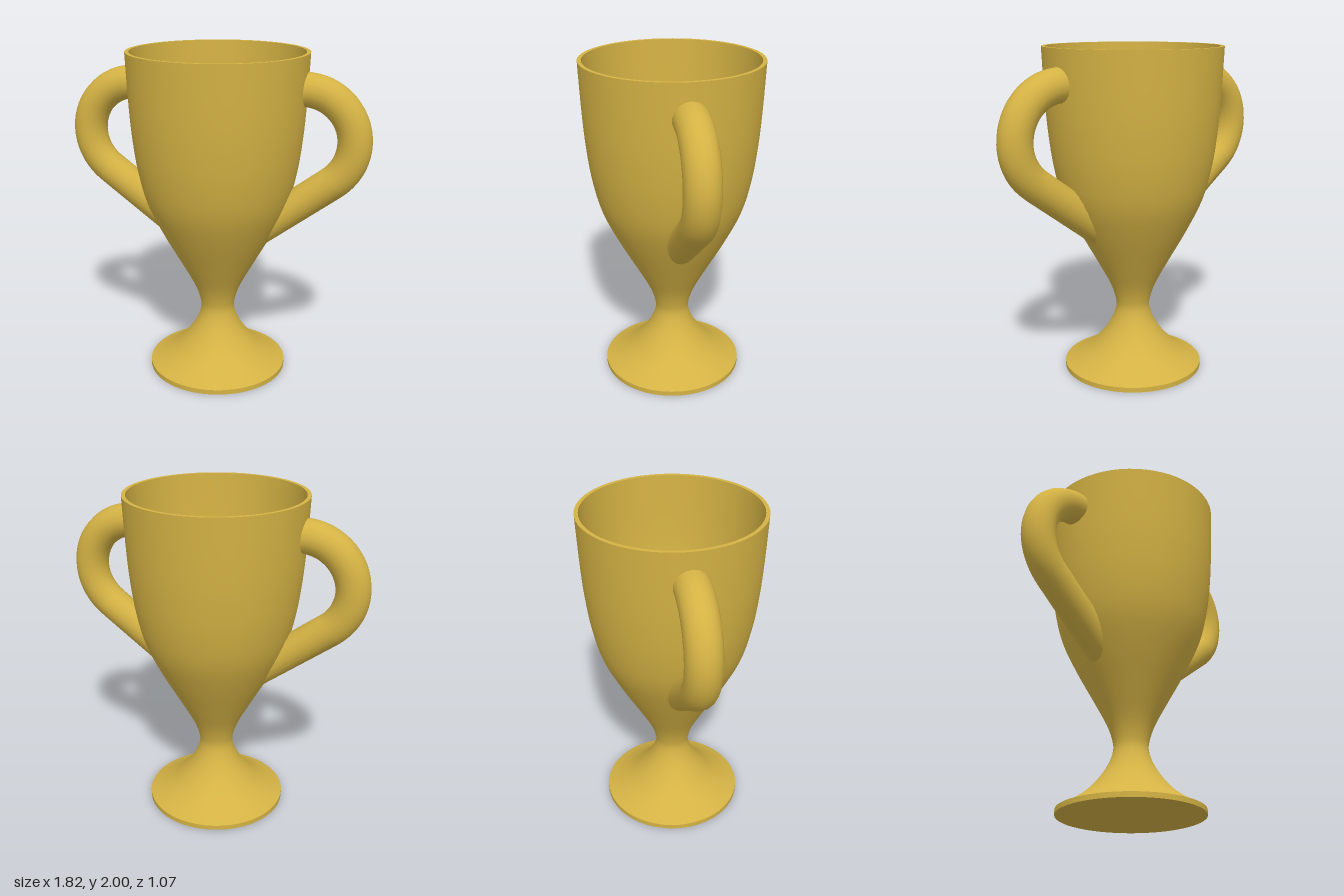
import * as THREE from 'three';

const gold = new THREE.MeshStandardMaterial({ color: 0xd4b244 });
gold.name = 'gold';

// Outer silhouette of stem and bowl as [radius, height]
const outline = [
  [0.43, 0.03], [0.36, 0.063], [0.27, 0.125], [0.19, 0.21], [0.135, 0.295], [0.105, 0.38],
  [0.11, 0.45], [0.145, 0.55], [0.225, 0.7], [0.335, 0.9], [0.428, 1.1], [0.478, 1.3],
  [0.505, 1.5], [0.52, 1.7], [0.533, 2],
];
const smooth = (pts, n) =>
  new THREE.SplineCurve(pts.map(([r, y]) => new THREE.Vector2(r, y))).getPoints(n);
const outer = smooth(outline, 56);
const inner = smooth([
  [0.51, 2], [0.497, 1.7], [0.482, 1.5], [0.454, 1.3], [0.403, 1.1], [0.31, 0.9],
  [0.198, 0.7], [0.115, 0.56], [0.072, 0.48],
], 36);

// Cup radius at a given height
function radiusAt(y) {
  const i = Math.max(1, outer.findIndex((p) => p.y >= y));
  const a = outer[i - 1], b = outer[i];
  return a.x + (b.x - a.x) * (y - a.y) / (b.y - a.y);
}

function lathe(name, points) {
  const pts = points.map((p) => (p.isVector2 ? p : new THREE.Vector2(...p)));
  const mesh = new THREE.Mesh(new THREE.LatheGeometry(pts, 64), gold);
  mesh.name = name;
  return mesh;
}

// Handle tube: an arc followed by a straight run, both ends trimmed to the cup wall
function handleGeometry() {
  const sides = 18, steps = 24, tube = 0.1, bend = 0.3;
  const sweep = Math.PI / 2 + Math.atan2(0.8, 0.6);
  const pos = [], index = [];
  const ring = (a, trimDir) => {
    for (let j = 0; j < sides; j++) {
      const t = (j / sides) * Math.PI * 2;
      const r = bend + tube * Math.cos(t);
      const p = new THREE.Vector3(0.508 + r * Math.cos(a), 1.5 + r * Math.sin(a), tube * Math.sin(t));
      if (trimDir) {
        // Slide along the tube until just inside the outer wall
        let lo = -0.1, hi = 0.7;
        const q = new THREE.Vector3();
        for (let k = 0; k < 30; k++) {
          const mid = (lo + hi) / 2;
          q.copy(p).addScaledVector(trimDir, mid);
          if (Math.hypot(q.x, q.z) > radiusAt(q.y) - 0.01) lo = mid; else hi = mid;
        }
        p.copy(q);
      }
      pos.push(p.x, p.y, p.z);
    }
  };
  const start = Math.PI / 2, end = start - sweep;
  ring(start, new THREE.Vector3(-1, 0, 0));
  for (let i = 1; i <= steps; i++) ring(start - (sweep * i) / steps);
  ring(end, new THREE.Vector3(Math.sin(end), -Math.cos(end), 0));
  for (let i = 0; i <= steps; i++) {
    for (let j = 0; j < sides; j++) {
      const k = (j + 1) % sides;
      const a = i * sides + j, b = i * sides + k, c = a + sides, d = b + sides;
      index.push(a, b, c, b, d, c);
    }
  }
  const geo = new THREE.BufferGeometry();
  geo.setAttribute('position', new THREE.Float32BufferAttribute(pos, 3));
  geo.setIndex(index);
  geo.computeVertexNormals();
  return geo;
}

export function createModel() {
  const model = new THREE.Group();
  model.name = 'trophyCup';

  // Foot, stem and bowl as separate turned pieces so the edges stay sharp
  model.add(
    lathe('footUnderside', [[0, 0], [0.43, 0]]),
    lathe('footEdge', [[0.43, 0], [0.43, 0.03]]),
    lathe('stemAndBowl', outer),
    lathe('rim', [[0.533, 2], [0.51, 2]]),
    lathe('bowlInside', inner),
    lathe('bowlFloor', [[0.072, 0.48], [0, 0.48]]),
  );

  // Pair of handles
  const geo = handleGeometry();
  for (const [name, turn] of [['leftHandle', 0], ['rightHandle', Math.PI]]) {
    const handle = new THREE.Mesh(geo, gold);
    handle.name = name;
    handle.rotation.y = turn;
    model.add(handle);
  }
  return model;
}
